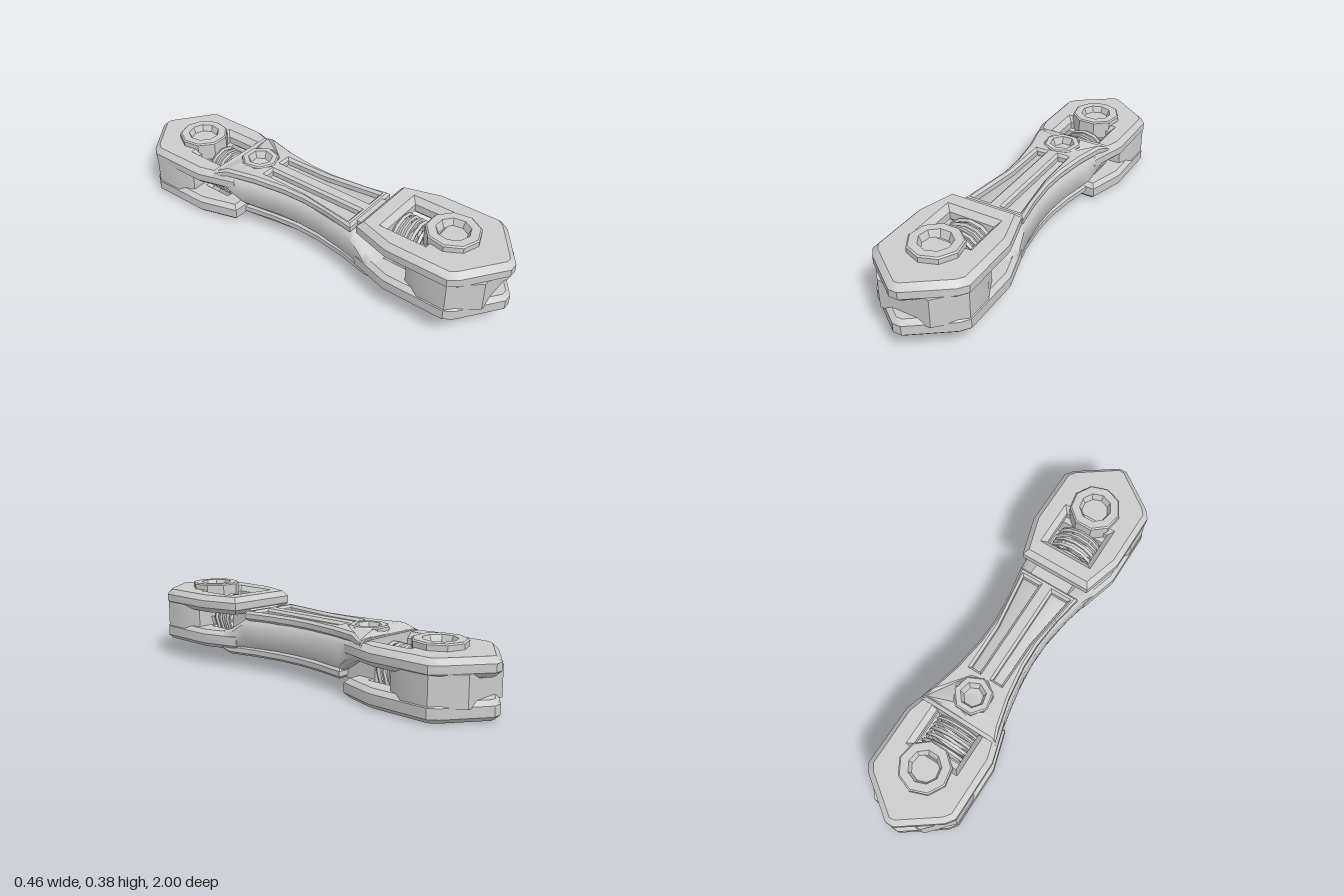
import * as THREE from 'three';
import { toCreasedNormals } from 'three/addons/utils/BufferGeometryUtils.js';

const grey = new THREE.MeshStandardMaterial({ color: 0xcccccc, side: THREE.DoubleSide });

function mesh(name, geometry, crease = 0.6) {
  const m = new THREE.Mesh(toCreasedNormals(geometry, crease), grey);
  m.name = name;
  return m;
}

// Half outline [x, z] mirrored across x = 0 into a closed list of points
function mirrored(half) {
  return [...half, ...half.map(([x, z]) => [-x, z]).reverse()].map(([x, z]) => new THREE.Vector2(x, z));
}

function circle(z, r, n, turn = 0) {
  return Array.from({ length: n }, (_, i) => {
    const a = turn + (i / n) * Math.PI * 2;
    return new THREE.Vector2(r * Math.cos(a), z + r * Math.sin(a));
  });
}

// Horizontal chamfered plate between two heights, with optional holes
function slab(points, y0, y1, bevel, holes = []) {
  const shape = new THREE.Shape(points);
  holes.forEach((h) => shape.holes.push(new THREE.Path(h)));
  const g = new THREE.ExtrudeGeometry(shape, {
    depth: y1 - y0 - 2 * bevel, bevelEnabled: bevel > 0, bevelThickness: bevel,
    bevelSize: bevel, bevelOffset: -bevel, bevelSegments: 1,
  });
  return g.rotateX(Math.PI / 2).translate(0, y1 - bevel, 0);
}

// Chamfered cross-sections [z, half width, bottom, top] joined along z
function loft(stations, c) {
  const pos = [], idx = [], n = 8;
  for (const [z, w, lo, hi] of stations) {
    const ring = [[w, lo + c], [w, hi - c], [w - c, hi], [c - w, hi], [-w, hi - c], [-w, lo + c], [c - w, lo], [w - c, lo]];
    ring.forEach(([x, y]) => pos.push(x, y, z));
  }
  const last = (stations.length - 1) * n;
  for (let i = 0; i < last; i += n) {
    for (let j = 0; j < n; j++) {
      const k = (j + 1) % n;
      idx.push(i + j, i + k, i + n + k, i + j, i + n + k, i + n + j);
    }
  }
  for (let j = 1; j < n - 1; j++) idx.push(0, j + 1, j, last, last + j, last + j + 1);
  const g = new THREE.BufferGeometry();
  g.setAttribute('position', new THREE.Float32BufferAttribute(pos, 3));
  g.setIndex(idx);
  return g;
}

function lathe(profile, n, y, z) {
  return new THREE.LatheGeometry(profile.map(([r, h]) => new THREE.Vector2(r, h)), n).translate(0, y, z);
}

class Helix extends THREE.Curve {
  getPoint(t, target = new THREE.Vector3()) {
    const a = t * Math.PI * 2 * 5;
    return target.set(0.105 * Math.cos(a), 0.1 * Math.sin(a), 0.47 + 0.15 * t);
  }
}

// One forked end, built towards +z with its underside at y = 0
function clampEnd() {
  const end = new THREE.Group();
  const outline = mirrored([[0.175, 0.355], [0.23, 0.54], [0.23, 0.83], [0.2, 0.87], [0.02, 1.0]]);
  const window = (far) => mirrored([[0.11, 0.47], [0.11, far]]);

  end.add(mesh('upperJaw', slab(outline, 0.172, 0.257, 0.025, [window(0.65)])));
  end.add(mesh('lowerJaw', slab(outline, 0, 0.085, 0.02, [window(0.58), circle(0.735, 0.085, 6)])));

  // Solid core between the jaws, leaving open side windows and a notched tip
  const core = mirrored([[0.19, 0.62], [0.226, 0.7], [0.226, 0.83], [0.12, 0.945]]);
  end.add(mesh('jawCore', slab(core, 0.06, 0.197, 0)));

  // Large screw head with a dished socket
  const head = [[0.12, -0.12], [0.12, 0.024], [0.113, 0.03], [0.075, 0.03], [0.06, -0.005], [0.035, -0.02], [0, -0.02]];
  end.add(mesh('screwHead', lathe(head, 9, 0.257, 0.72)));
  const tip = new THREE.CylinderGeometry(0.035, 0.045, 0.04, 4).translate(0, 0.045, 0.735);
  end.add(mesh('screwEnd', tip));

  const spring = new THREE.TubeGeometry(new Helix(), 60, 0.01, 4).translate(0, 0.1285, 0);
  end.add(mesh('spring', spring, 1.2));
  return end;
}

// Grooved face of the handle with a ring bolt; top side, bolt towards -z
function handleFace() {
  const face = new THREE.Group();
  const outline = mirrored([[0.195, -0.46], [0.175, -0.4], [0.14, -0.26], [0.118, -0.1], [0.115, 0.02], [0.128, 0.16], [0.155, 0.31]]);
  const groove = [1, -1].map((s) => [[0.035, -0.23], [0.08, -0.23], [0.083, 0], [0.12, 0.275], [0.035, 0.275]]
    .map(([x, z]) => new THREE.Vector2(s * x, z)));
  const g = slab(outline, 0.24, 0.287, 0.012, [...groove, circle(-0.34, 0.08, 7)]);
  // Slope the far end down to meet the jaw
  const p = g.attributes.position;
  for (let i = 0; i < p.count; i++) if (p.getZ(i) < -0.43) p.setY(i, p.getY(i) - 0.022);
  face.add(mesh('groovedPlate', g));
  const ring = [[0.092, 0], [0.092, 0.04], [0.085, 0.046], [0.06, 0.046], [0.045, 0.01], [0, 0.005]];
  face.add(mesh('ringBolt', lathe(ring, 7, 0.246, -0.34)));
  return face;
}

export function createModel() {
  const model = new THREE.Group();
  model.name = 'pivotArm';

  // Waisted handle core; the far half repeats the near half turned over
  const half = [[0, 0.122, 0.102, 0.25], [0.12, 0.128, 0.102, 0.25], [0.25, 0.15, 0.102, 0.25],
    [0.32, 0.165, 0.1, 0.245], [0.4, 0.185, 0.09, 0.19], [0.47, 0.205, 0.09, 0.172]];
  const turned = half.slice(1).reverse().map(([z, w, lo, hi]) => [-z, w, 0.352 - hi, 0.352 - lo]);
  model.add(mesh('handleCore', loft([...turned, ...half], 0.025), 0.9));

  // Grooved faces above and below
  const top = handleFace();
  top.name = 'topFace';
  const bottom = handleFace();
  bottom.name = 'bottomFace';
  bottom.rotation.x = Math.PI;
  bottom.position.y = 0.352;
  model.add(top, bottom);

  // Forked ends, the rear one set lower, each with a neck block into the handle
  for (const [name, turn, y] of [['frontEnd', 0, 0.088], ['rearEnd', Math.PI, 0]]) {
    const end = clampEnd();
    end.name = name;
    end.rotation.y = turn;
    end.position.y = y;
    end.add(mesh('neck', new THREE.BoxGeometry(0.2, 0.13, 0.16).translate(0, 0.1285, 0.385)));
    model.add(end);
  }
  return model;
}
